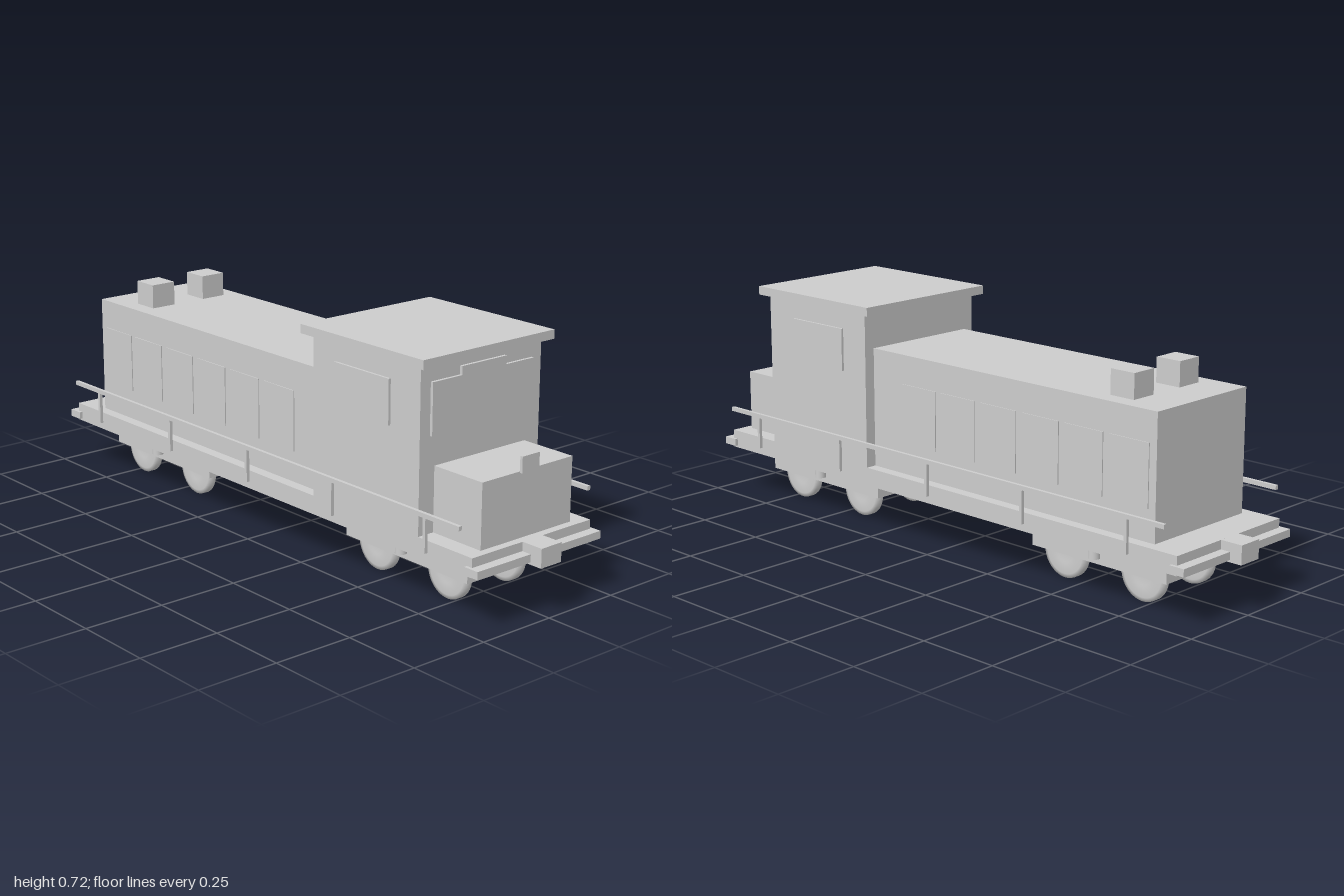
import * as THREE from 'three';

export function createModel() {
  const loco = new THREE.Group();
  loco.name = 'locomotive';
  const grey = new THREE.MeshStandardMaterial({ color: 0xcccccc });
  grey.name = 'plain grey';

  const add = (name, geometry, x = 0, y = 0, z = 0) => {
    const mesh = new THREE.Mesh(geometry, grey);
    mesh.name = name;
    mesh.position.set(x, y, z);
    loco.add(mesh);
    return mesh;
  };
  // Box given by its lower and upper limits on each axis
  const box = (name, x0, x1, y0, y1, z0, z1) =>
    add(name, new THREE.BoxGeometry(x1 - x0, y1 - y0, z1 - z0),
      (x0 + x1) / 2, (y0 + y1) / 2, (z0 + z1) / 2);
  // Box centred at x with a given width
  const boxAt = (name, x, w, y0, y1, z0, z1) => box(name, x - w / 2, x + w / 2, y0, y1, z0, z1);

  // Body
  boxAt('deck', 0, 0.46, 0.153, 0.21, -0.93, 0.93);
  boxAt('cab', 0, 0.46, 0.21, 0.69, 0.282, 0.722);
  boxAt('cabRoof', 0, 0.5, 0.69, 0.717, 0.25, 0.752);
  boxAt('engineHood', 0, 0.39, 0.21, 0.58, -0.825, 0.282);
  boxAt('frontHood', 0, 0.348, 0.21, 0.402, 0.722, 0.905);
  boxAt('headlight', 0, 0.066, 0.398, 0.446, 0.905, 0.914);

  // Windscreen with raised centre
  const s = new THREE.Shape();
  [[-0.193, 0.49], [0.193, 0.49], [0.193, 0.642], [0.085, 0.642], [0.085, 0.667],
    [-0.085, 0.667], [-0.085, 0.642], [-0.193, 0.642]]
    .forEach(([x, y], i) => (i ? s.lineTo(x, y) : s.moveTo(x, y)));
  add('windscreen', new THREE.ExtrudeGeometry(s, { depth: 0.009, bevelEnabled: false }), 0, 0, 0.722);

  // Wheel profile revolved about its axle
  const profile = [[0, -0.009], [0.03, -0.009], [0.034, -0.0125], [0.066, -0.0125],
    [0.0785, -0.009], [0.0785, 0.009], [0.066, 0.0125], [0.034, 0.0125], [0.03, 0.009], [0, 0.009]]
    .map(([r, h]) => new THREE.Vector2(r, h));
  const wheel = new THREE.LatheGeometry(profile, 40).rotateZ(Math.PI / 2);
  const cylinder = new THREE.CylinderGeometry(0.0175, 0.0175, 0.048, 24);

  for (const side of [-1, 1]) {
    // Cab side window and engine door panels
    boxAt('cabSideWindow', side * 0.233, 0.009, 0.5, 0.632, 0.38, 0.605);
    for (let i = 0; i < 6; i++) {
      const z = -0.8 + i * 0.163;
      boxAt('enginePanel', side * 0.195, 0.006, 0.305, 0.49, z, z + 0.14);
    }
    boxAt('exhaustStack', side * 0.099, 0.084, 0.58, 0.655, -0.698, -0.614);

    // Handrail
    boxAt('handrail', side * 0.25, 0.011, 0.284, 0.297, -0.903, 0.903);
    for (let i = -2; i <= 2; i++) {
      boxAt('railPost', side * 0.25, 0.01, 0.183, 0.296, i * 0.385 - 0.005, i * 0.385 + 0.005);
    }
  }

  // Both ends: beam, coupler and truck
  for (const end of [-1, 1]) {
    const span = (a, b) => (end > 0 ? [a, b] : [-b, -a]);
    boxAt('bumperBeam', 0, 0.48, 0.16, 0.183, ...span(0.911, 0.961));
    boxAt('coupler', 0, 0.078, 0.153, 0.21, ...span(0.92, 1));
    boxAt('truckFrame', 0, 0.286, 0.082, 0.147, ...span(0.329, 0.827));
    for (const side of [-1, 1]) {
      for (const z of [0.433, 0.722]) add('wheel', wheel, side * 0.106, 0.0785, end * z);
      add('brakeCylinder', cylinder, side * 0.16, 0.129, end * 0.58);
    }
  }
  return loco;
}
